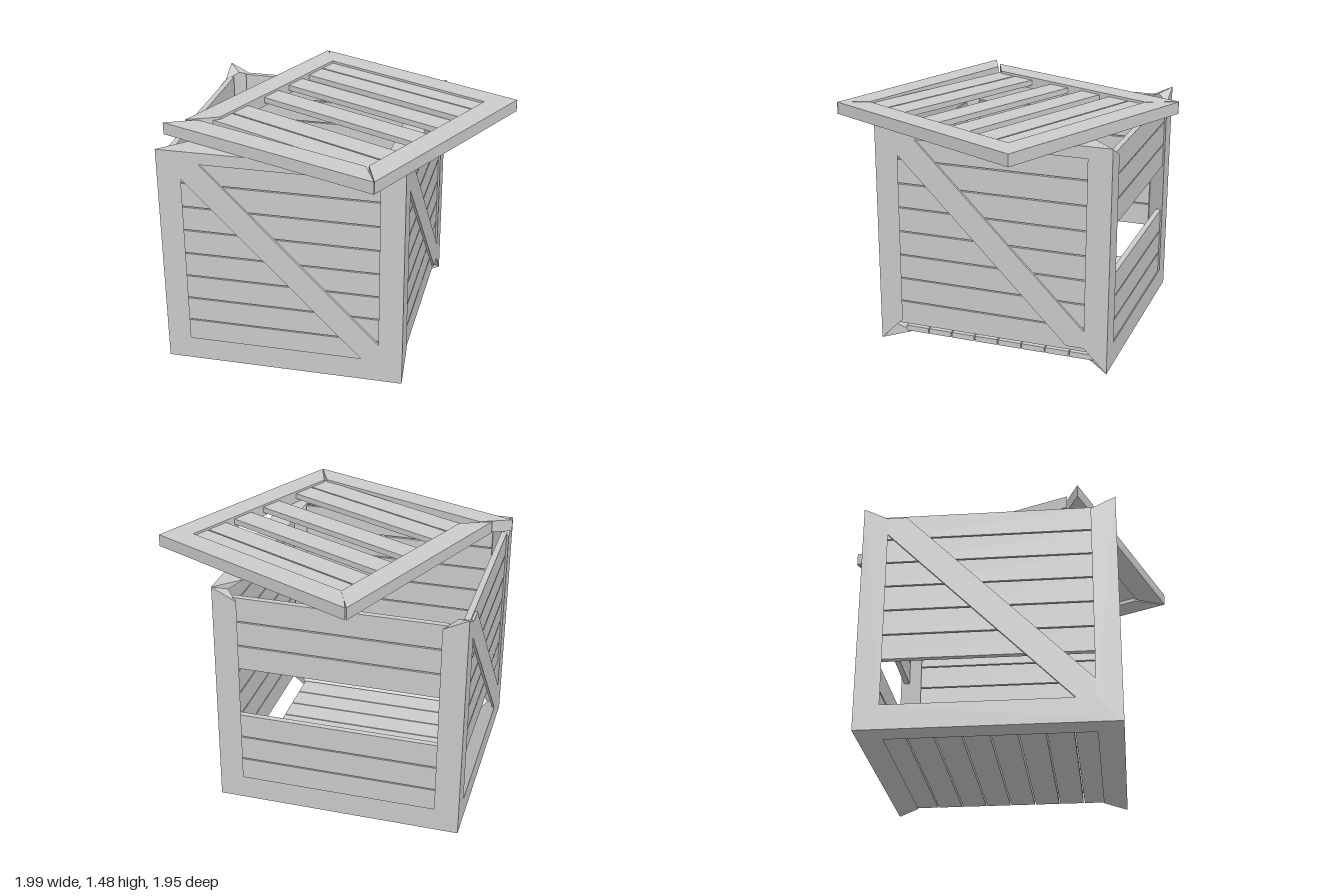
import * as THREE from 'three';
import { ConvexGeometry } from 'three/addons/geometries/ConvexGeometry.js';

const mat = new THREE.MeshStandardMaterial({ color: 0xcccccc, flatShading: true });

const HALF = 0.733;    // half width of the crate
const TOP = 1.4;       // height of the crate without its lid
const A = 0.145;       // width of the frame boards
const OPEN = HALF - A; // half width of a panel opening
const PITCH = 0.1543;  // spacing of the slats
const SLAT = 0.147;
const LENGTH = 1.236;

function add(parent, name, geometry, x = 0, y = 0, z = 0) {
  const mesh = new THREE.Mesh(geometry, mat);
  mesh.name = name;
  mesh.position.set(x, y, z);
  parent.add(mesh);
  return mesh;
}

// Coordinate on an axis, measured inward from the side given by sign
function inset(axis, sign, d) {
  if (axis === 1) return sign > 0 ? TOP - d * 0.5 : d;
  return sign * (HALF - d);
}

// Triangular corner beam along one edge of the crate, mitred at both ends
function edgeBeam(parent, name, axis, s1, s2) {
  const b = (axis + 1) % 3, c = (axis + 2) % 3;
  const section = [[0, 0, 0], [A, 0, A], [A / 2, A / 2, A / 2], [0, A, A]];
  const points = [];
  for (const end of [-1, 1]) {
    for (const [db, dc, da] of section) {
      const p = [0, 0, 0];
      p[axis] = inset(axis, end, da);
      p[b] = inset(b, s1, db);
      p[c] = inset(c, s2, dc);
      points.push(new THREE.Vector3(...p));
    }
  }
  add(parent, name, new ConvexGeometry(points));
}

// Wall of horizontal slats with an optional diagonal brace, facing local +z
function wall(parent, name, angle, missing, braced) {
  const g = new THREE.Group();
  g.name = name;
  g.rotation.y = angle;
  for (let i = 0; i < 8; i++) {
    if (missing.includes(i)) continue;
    add(g, 'wallSlat', new THREE.BoxGeometry(LENGTH, SLAT, 0.035),
      0, 0.731 + (i - 3.5) * PITCH, HALF - 0.0325);
  }
  if (braced) {
    const top = 1.33, low = A, w = 0.108;
    const shape = new THREE.Shape([
      [-OPEN, top], [-OPEN, top - w], [OPEN - w, low],
      [OPEN, low], [OPEN, low + w], [-OPEN + w, top],
    ].map(([x, y]) => new THREE.Vector2(x, y)));
    add(g, 'diagonalBrace', new THREE.ExtrudeGeometry(shape, { depth: 0.016, bevelEnabled: false }),
      0, 0, HALF - 0.016);
  }
  parent.add(g);
}

// Flat mitred lid board whose outer edge runs from a corner in a direction
function lidBoard(parent, name, x, z, dx, dz, y = TOP) {
  const L = 2 * HALF;
  const shape = new THREE.Shape([[0, 0], [L, 0], [L - A, A], [A, A]]
    .map(([u, v]) => new THREE.Vector2(u, v)));
  const geo = new THREE.ExtrudeGeometry(shape, { depth: 0.074, bevelEnabled: false });
  geo.rotateX(-Math.PI / 2);
  add(parent, name, geo, x, y, z).rotation.y = Math.atan2(-dz, dx);
}

export function createModel() {
  const model = new THREE.Group();
  model.name = 'brokenCrate';

  // Body, set off centre under the twisted lid
  const body = new THREE.Group();
  body.name = 'crateBody';
  body.position.set(-0.24, 0, -0.065);
  model.add(body);

  // Corner posts
  for (const sz of [-1, 1]) for (const sx of [-1, 1]) edgeBeam(body, 'cornerPost', 1, sz, sx);

  // Remaining bottom and top rails
  edgeBeam(body, 'frontBottomRail', 0, -1, 1);
  edgeBeam(body, 'backBottomRail', 0, -1, -1);
  edgeBeam(body, 'sideBottomRail', 2, -1, -1);
  edgeBeam(body, 'frontTopRail', 0, 1, 1);
  edgeBeam(body, 'sideTopRail', 2, 1, 1);

  // Walls with their missing slats
  wall(body, 'frontWall', 0, [], true);
  wall(body, 'leftWall', Math.PI / 2, [], true);
  wall(body, 'backWall', Math.PI, [3, 4], false);
  wall(body, 'rightWall', -Math.PI / 2, [0, 1], true);

  // Floor
  for (let i = 0; i < 8; i++) {
    add(body, 'floorSlat', new THREE.BoxGeometry(LENGTH, 0.035, SLAT),
      0, 0.0325, (i - 3.5) * PITCH);
  }

  // Lid frame: two boards hold together, two have swung loose
  const lid = new THREE.Group();
  lid.name = 'lid';
  model.add(lid);
  lidBoard(lid, 'lidBackBoard', 0.993, -0.36, -0.907, -0.421);
  lidBoard(lid, 'lidSideBoard', 0.372, 0.968, 0.423, -0.906);
  lidBoard(lid, 'lidLooseFrontBoard', -0.999, 0.452, 0.935, 0.355);
  lidBoard(lid, 'lidLooseSideBoard', -0.343, -0.978, -0.369, 0.929, TOP + 0.002);

  // Lid slats, some lost and some shifted
  const slats = new THREE.Group();
  slats.name = 'lidSlats';
  slats.position.set(0.015, 1.4425, -0.005);
  slats.rotation.y = -0.434;
  for (const d of [0.043, 0.197, 0.415, 0.668, 0.972, 1.126]) {
    add(slats, 'lidSlat', new THREE.BoxGeometry(LENGTH, 0.035, 0.145), 0, 0, d - OPEN);
  }
  lid.add(slats);

  return model;
}
